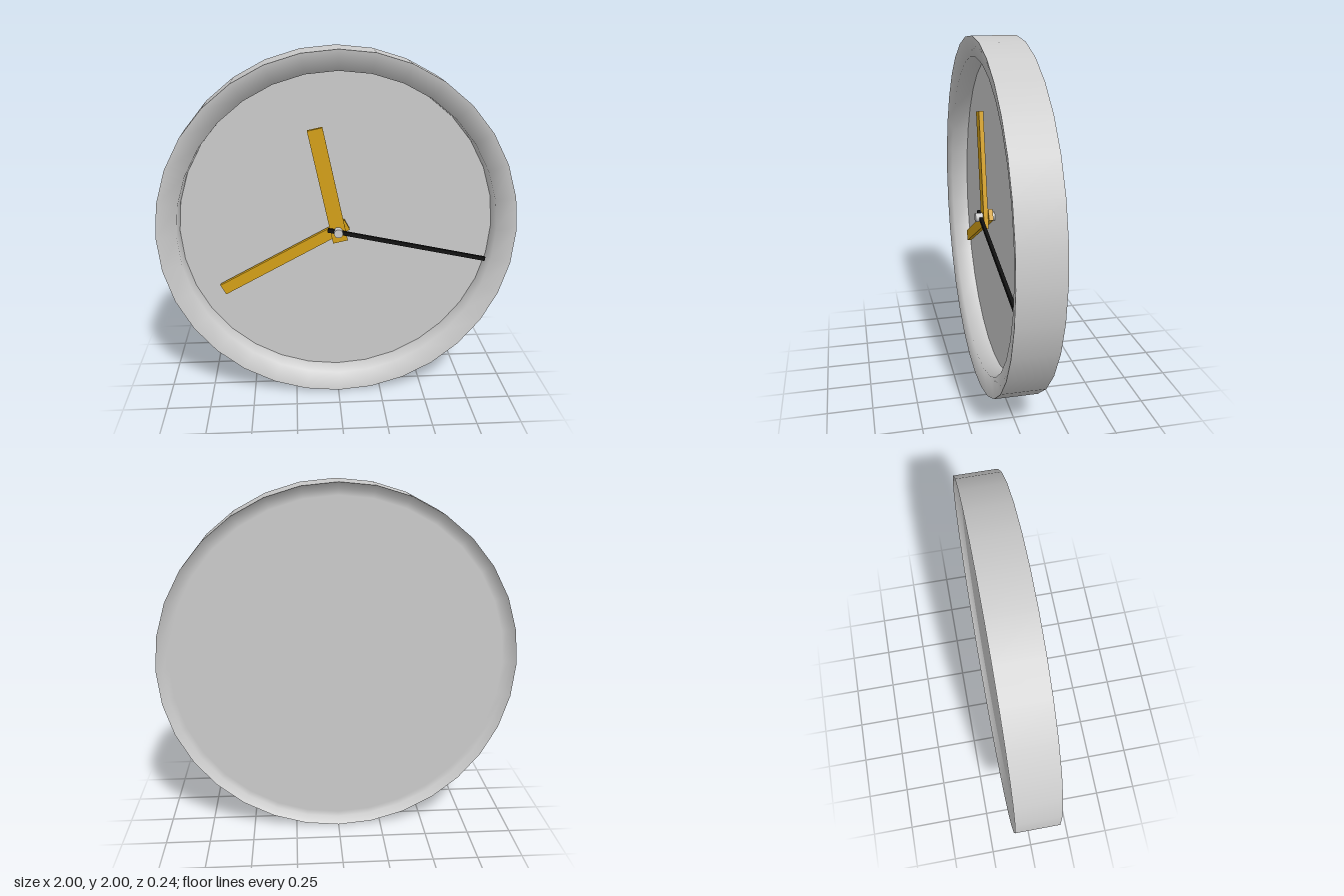
import * as THREE from 'three';

const SIDES = 32;
const grey = new THREE.MeshStandardMaterial({ color: 0xcccccc, side: THREE.DoubleSide });
const gold = new THREE.MeshStandardMaterial({ color: 0xd4a017 });
const black = new THREE.MeshStandardMaterial({ color: 0x111111 });

function add(group, name, geometry, material) {
  const mesh = new THREE.Mesh(geometry, material);
  mesh.name = name;
  group.add(mesh);
  return mesh;
}

// Turned part around the z axis; points are [radius, z], ordered from back to front
function turned(points) {
  const profile = points.map(([r, z]) => new THREE.Vector2(r, z));
  return new THREE.LatheGeometry(profile, SIDES).rotateX(Math.PI / 2);
}

// Flat bar that pivots at the hub and points towards (x, y), with a short tail
function addHand(group, name, { x, y, tail, width, z, depth }, material) {
  const length = Math.hypot(x, y);
  const bar = new THREE.BoxGeometry(length + tail, width, depth);
  bar.translate((length - tail) / 2, 0, 0);
  const hand = add(group, name, bar, material);
  hand.rotation.z = Math.atan2(y, x);
  hand.position.z = z;
}

export function createModel() {
  const clock = new THREE.Group();
  clock.name = 'wallClock';

  // Case: recessed back, outer wall and front bezel with its inner wall
  add(clock, 'backPanel', turned([[0, -0.085], [0.93, -0.085], [0.965, -0.085], [1, -0.12]]), grey);
  add(clock, 'outerWall', turned([[1, -0.12], [1, 0.12]]), grey);
  add(clock, 'bezel', turned([[1, 0.12], [0.89, 0.1], [0.885, 0]]), grey);

  // Dial
  const dial = new THREE.CircleGeometry(0.885, SIDES);
  add(clock, 'dial', dial, grey);

  // Hands, stacked from the dial outwards
  addHand(clock, 'hourHand', { x: -0.66, y: -0.354, tail: 0.06, width: 0.065, z: 0.03, depth: 0.025 }, gold);
  addHand(clock, 'minuteHand', { x: -0.125, y: 0.58, tail: 0.065, width: 0.085, z: 0.056, depth: 0.025 }, gold);
  addHand(clock, 'secondHand', { x: 0.842, y: -0.182, tail: 0.06, width: 0.022, z: 0.08, depth: 0.018 }, black);

  // Centre pin
  const pin = new THREE.CylinderGeometry(0.025, 0.025, 0.11, 16).rotateX(Math.PI / 2);
  add(clock, 'centrePin', pin, grey).position.z = 0.055;

  clock.position.y = 1;
  const model = new THREE.Group();
  model.add(clock);
  return model;
}
